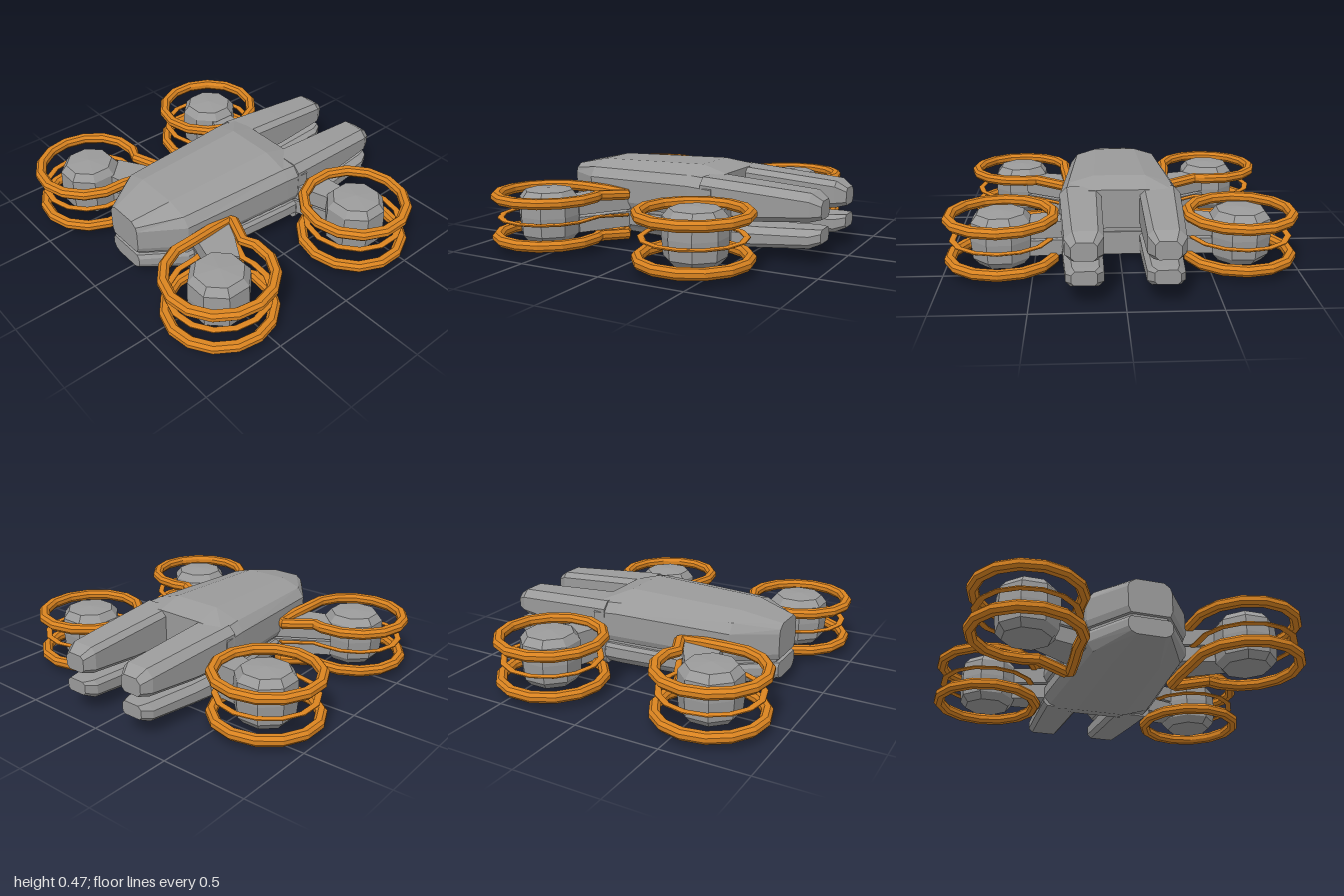
import * as THREE from 'three';

const grey = new THREE.MeshStandardMaterial({ color: 0x9b9b9b, flatShading: true });
grey.name = 'hull grey';
const orange = new THREE.MeshStandardMaterial({ color: 0xdb8420, flatShading: true });
orange.name = 'guard orange';

// Skins a list of equal-length loops of [x, y, z]; closed joins last to first, else ends are capped
function loft(loops, closed = false) {
  const n = loops[0].length, idx = [], pts = loops.flat();
  const count = closed ? loops.length : loops.length - 1;
  for (let i = 0; i < count; i++) {
    const a = i * n, b = ((i + 1) % loops.length) * n;
    for (let j = 0; j < n; j++) {
      const k = (j + 1) % n;
      idx.push([a + j, b + j, b + k], [a + j, b + k, a + k]);
    }
  }
  if (!closed) {
    const e = (loops.length - 1) * n;
    for (let j = 1; j < n - 1; j++) idx.push([0, j, j + 1], [e, e + j + 1, e + j]);
  }
  // Turn all faces outward according to the signed volume
  const v = pts.map(p => new THREE.Vector3(...p));
  const volume = idx.reduce((s, [a, b, c]) => s + v[a].dot(v[b].clone().cross(v[c])), 0);
  if (volume < 0) idx.forEach(t => t.reverse());
  const g = new THREE.BufferGeometry();
  g.setAttribute('position', new THREE.Float32BufferAttribute(pts.flat(), 3));
  g.setIndex(idx.flat());
  const flat = g.toNonIndexed();
  flat.computeVertexNormals();
  return flat;
}

// Symmetric hull section: seam height, then [half width, height] from the side up to the ridge
const hullSection = (x, seam, steps) => {
  const half = [[steps[0][0] - 0.015, seam], ...steps];
  return [...half.map(([w, y]) => [x, y, w]), ...half.reverse().map(([w, y]) => [x, y, -w])];
};

// Chamfered rectangular section of a prong
const prongSection = (x, z0, z1, y0, y1, c, s) => [
  [z0 + c, y0], [z1 - c, y0], [z1, y0 + c], [z1, y1 - c * 1.4],
  [z1 - c * 1.4, y1], [z0 + c, y1], [z0, y1 - c], [z0, y0 + c],
].map(([z, y]) => [x, y, z * s]);

// Closed chamfered band following a flat path of [x, z, dy]
function band(path, y, w, h) {
  const section = [[w, h * 0.4], [w * 0.5, h], [-w * 0.5, h], [-w, h * 0.4],
    [-w, -h * 0.4], [-w * 0.5, -h], [w * 0.5, -h], [w, -h * 0.4]];
  const n = path.length;
  return loft(path.map(([x, z, dy = 0], i) => {
    const p = path[(i + n - 1) % n], q = path[(i + 1) % n];
    const d = new THREE.Vector2(q[0] - p[0], q[1] - p[1]).normalize();
    return section.map(([o, u]) => [x + d.y * o, y + dy + u, z - d.x * o]);
  }), true);
}

// Round guard path, or one with a tail running to the hull
function guardPath(cx, cz, r, s, tail) {
  const path = [];
  const sides = 14;
  const arc = (from, to, steps, last) => {
    for (let i = 0; i < last; i++) {
      const a = THREE.MathUtils.degToRad(from + (to - from) * i / steps);
      path.push([cx + r * Math.cos(a), (cz + r * Math.sin(a)) * s]);
    }
  };
  if (!tail) arc(0, 360, sides, sides);
  else {
    arc(-8, 280, 12, 13);
    path.push([-0.4, 0.315 * s, -0.01], [-0.27, 0.305 * s, -0.022], [-0.255, 0.335 * s, -0.022],
      [-0.335, 0.51 * s, -0.005]);
  }
  return path;
}

export function createModel() {
  const model = new THREE.Group();
  const add = (parent, name, geometry, material) => {
    const m = new THREE.Mesh(geometry, material);
    m.name = name;
    parent.add(m);
    return m;
  };

  // Hull halves with a recessed seam between them
  add(model, 'upperHull', loft([
    hullSection(-0.77, 0.205, [[0.125, 0.24], [0.125, 0.36], [0.115, 0.385], [0.08, 0.41]]),
    hullSection(-0.54, 0.205, [[0.29, 0.24], [0.29, 0.37], [0.25, 0.425], [0.13, 0.462]]),
    hullSection(0.16, 0.205, [[0.345, 0.24], [0.345, 0.38], [0.3, 0.435], [0.15, 0.48]]),
    hullSection(0.31, 0.205, [[0.352, 0.24], [0.352, 0.37], [0.31, 0.425], [0.15, 0.435]]),
  ]), grey);
  add(model, 'lowerHull', loft([
    hullSection(-0.77, 0.182, [[0.125, 0.16], [0.125, 0.12], [0.11, 0.095], [0.08, 0.08]]),
    hullSection(-0.54, 0.182, [[0.285, 0.16], [0.285, 0.11], [0.25, 0.06], [0.13, 0.02]]),
    hullSection(0.16, 0.182, [[0.34, 0.16], [0.34, 0.1], [0.3, 0.055], [0.15, 0.005]]),
    hullSection(0.31, 0.182, [[0.345, 0.16], [0.345, 0.1], [0.31, 0.06], [0.15, 0.045]]),
  ]), grey);
  add(model, 'seamCore', loft([[-0.75, 0.1], [-0.53, 0.26], [0.3, 0.315]].map(([x, w]) =>
    [[x, 0.17, w], [x, 0.22, w], [x, 0.22, -w], [x, 0.17, -w]])), grey);

  for (const s of [1, -1]) {
    const side = s > 0 ? 'front' : 'back';

    // Paired prongs
    add(model, side + 'UpperProng', loft([
      prongSection(0.24, 0.11, 0.35, 0.205, 0.437, 0.03, s),
      prongSection(0.55, 0.11, 0.332, 0.212, 0.417, 0.03, s),
      prongSection(0.87, 0.11, 0.313, 0.24, 0.395, 0.03, s),
      prongSection(0.93, 0.145, 0.28, 0.255, 0.355, 0.02, s),
    ]), grey);
    add(model, side + 'LowerProng', loft([
      prongSection(0.24, 0.11, 0.345, 0.045, 0.182, 0.025, s),
      prongSection(0.55, 0.11, 0.33, 0.068, 0.183, 0.025, s),
      prongSection(0.87, 0.11, 0.31, 0.095, 0.199, 0.025, s),
      prongSection(0.93, 0.145, 0.28, 0.122, 0.2, 0.015, s),
    ]), grey);

    // Rotor units: pod, arm and three guards each
    const units = [
      { name: side + 'TailRotor', x: -0.6, z: 0.625, pod: [-0.6, 0.625], tail: true,
        arm: [[-0.42, 0.58], [-0.55, 0.46], [-0.49, 0.24], [-0.24, 0.28]] },
      { name: side + 'ProngRotor', x: 0.38, z: 0.675, pod: [0.39, 0.675], tail: false,
        arm: [[0.45, 0.55], [0.31, 0.55], [0.23, 0.3], [0.43, 0.3]] },
    ];
    for (const u of units) {
      const g = new THREE.Group();
      g.name = u.name;
      model.add(g);
      const profile = [[0, 0.045], [0.135, 0.05], [0.17, 0.09], [0.18, 0.2], [0.175, 0.3], [0.14, 0.343], [0, 0.354]];
      const pod = add(g, 'pod', new THREE.LatheGeometry(
        profile.map(p => new THREE.Vector2(...p)), 8, Math.PI / 8), grey);
      pod.position.set(u.pod[0], 0, u.pod[1] * s);

      // Arm in two layers, sharing the hull seam
      for (const [y0, y1, name] of [[0.198, 0.295, 'upperArm'], [0.095, 0.185, 'lowerArm']])
        add(g, name, loft([y0, y1].map(y => u.arm.map(([x, z]) => [x, y, z * s]))), grey);

      add(g, 'upperGuard', band(guardPath(u.x, u.z, 0.297, s, u.tail), 0.315, 0.031, 0.029), orange);
      add(g, 'middleGuard', band(guardPath(u.x, u.z, 0.278, s, u.tail), 0.191, 0.018, 0.008), orange);
      add(g, 'lowerGuard', band(guardPath(u.x, u.z, 0.297, s, u.tail), 0.077, 0.031, 0.03), orange);
    }
  }
  return model;
}
